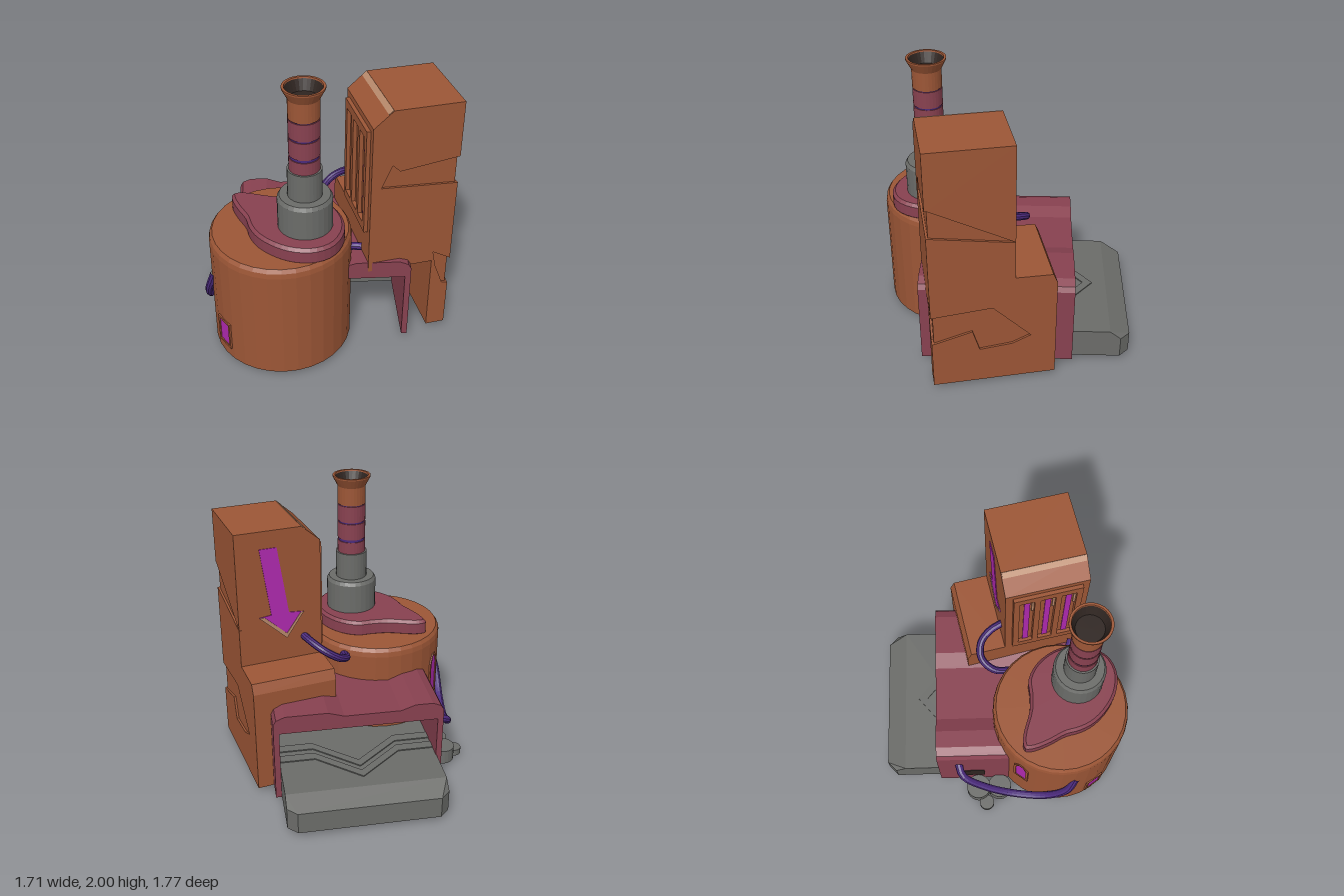
import * as THREE from 'three';
import { ConvexGeometry } from 'three/addons/geometries/ConvexGeometry.js';

const mat = (name, hex) => {
  const m = new THREE.MeshStandardMaterial({ color: hex });
  m.name = name;
  m.flatShading = true;
  return m;
};
const V2 = (p) => new THREE.Vector2(p[0], p[1]);
const V3 = (p) => new THREE.Vector3(p[0], p[1], p[2]);

export function createModel() {
  const copper = mat('copper', 0x9c5636);
  const maroon = mat('maroon', 0x884150);
  const grey = mat('grey', 0x6b6c69);
  const purple = mat('purple', 0x4b2a7c);
  const magenta = mat('magenta', 0xb02ab0);
  const tan = mat('tan', 0xb98a6c);
  const dark = mat('dark', 0x2e2420);

  const root = new THREE.Group();
  root.name = 'machine';

  const add = (parent, name, geo, material) => {
    const m = new THREE.Mesh(geo, material);
    m.name = name;
    parent.add(m);
    return m;
  };
  const group = (parent, name) => {
    const g = new THREE.Group();
    g.name = name;
    parent.add(g);
    return g;
  };
  const lathe = (pts, segs = 28) => new THREE.LatheGeometry(pts.map(V2), segs);
  const box = (x0, x1, y0, y1, z0, z1) =>
    new THREE.BoxGeometry(x1 - x0, y1 - y0, z1 - z0)
      .translate((x0 + x1) / 2, (y0 + y1) / 2, (z0 + z1) / 2);
  const slab = (pts, depth, holes = []) => {
    const s = new THREE.Shape(pts.map(V2));
    holes.forEach((h) => s.holes.push(new THREE.Path(h.map(V2))));
    return new THREE.ExtrudeGeometry(s, { depth, bevelEnabled: false });
  };
  const rect = (x0, x1, y0, y1) => [[x0, y0], [x1, y0], [x1, y1], [x0, y1]];
  const tube = (pts, r) =>
    new THREE.TubeGeometry(new THREE.CatmullRomCurve3(pts.map(V3)), 32, r, 10);

  // Barrel with chamfered rim
  const barrel = group(root, 'barrel');
  barrel.position.set(-0.3, 0, 0.402);
  add(barrel, 'barrelBody', lathe([[0, 0.03], [0.478, 0.03], [0.478, 0.84], [0.472, 0.875],
    [0.455, 0.9], [0, 0.9]], 32), copper);

  // Lit windows on the barrel
  const barrelWindow = (name, dx, dz, w, y0, y1, peak) => {
    const g = group(barrel, name);
    g.rotation.y = Math.atan2(dx, dz);
    const outline = (e) => [[-w - e, y0 - e], [w + e, y0 - e], [w + e, y1 - peak + e],
      [w * 0.4, y1 + e], [-w * 0.4, y1 + e], [-w - e, y1 - peak + e]];
    add(g, 'windowFrame', slab(outline(0.018), 0.022, [outline(0)]).translate(0, 0, 0.462), copper);
    add(g, 'windowGlow', slab(outline(0), 0.009).translate(0, 0, 0.469), magenta);
  };
  barrelWindow('rearWindow', -0.8, -0.6, 0.042, 0.42, 0.72, 0.07);
  barrelWindow('sideWindow', -0.83, 0.56, 0.052, 0.13, 0.31, 0);

  // Teardrop cover plate
  const coverCurve = new THREE.CatmullRomCurve3([[-0.62, 0.14], [-0.57, 0.125], [-0.5, 0.135],
    [-0.35, 0.18], [-0.23, 0.185], [-0.13, 0.18], [-0.02, 0.235], [0.075, 0.35], [0.118, 0.49],
    [0.105, 0.62], [0.03, 0.745], [-0.09, 0.8], [-0.23, 0.785], [-0.35, 0.72], [-0.45, 0.62],
    [-0.5, 0.52], [-0.525, 0.42], [-0.58, 0.31], [-0.62, 0.2]]
    .map(([x, z]) => new THREE.Vector3(x, -z, 0)), true);
  const cover = new THREE.Shape(coverCurve.getPoints(56).slice(0, -1).map((p) => new THREE.Vector2(p.x, p.y)));
  add(root, 'coverPlate', new THREE.ExtrudeGeometry(cover, { depth: 0.08, bevelThickness: 0.02,
    bevelSize: 0.02, bevelOffset: -0.02, bevelSegments: 1 })
    .rotateX(-Math.PI / 2).translate(0, 0.902, 0), maroon);

  // Chimney stack
  const chimney = group(root, 'chimney');
  chimney.position.set(-0.137, 0, 0.518);
  add(chimney, 'chimneyBase', lathe([[0.18, 0.99], [0.18, 1.215], [0.165, 1.24], [0.112, 1.24],
    [0.112, 1.435], [0, 1.435]]), grey);
  [[1.435, 1.522], [1.542, 1.66], [1.672, 1.79]].forEach(([a, b]) =>
    add(chimney, 'chimneySection', lathe([[0, a], [0.1, a], [0.1, b], [0, b]]), maroon));
  add(chimney, 'chimneyRings', lathe([[0.094, 1.5], [0.094, 1.8]]), purple);
  add(chimney, 'chimneyHorn', lathe([[0, 1.797], [0.1, 1.797], [0.1, 1.925], [0.134, 1.99],
    [0.134, 2], [0.118, 2], [0.115, 1.985]]), copper);
  add(chimney, 'chimneyBore', lathe([[0.116, 1.99], [0.09, 1.92], [0, 1.92]].reverse()), dark)
    .material.side = THREE.DoubleSide;

  // Arched bridge with a shallow dip in its top
  add(root, 'bridge', slab([[-0.6, 0.04], [-0.56, 0.04], [-0.56, 0.56], [0.53, 0.56], [0.53, 0.04],
    [0.57, 0.04], [0.57, 0.63], [0.55, 0.665], [0.49, 0.69], [0.2, 0.69], [0.09, 0.655],
    [-0.3, 0.655], [-0.4, 0.69], [-0.52, 0.69], [-0.58, 0.665], [-0.6, 0.63]], 1.055)
    .translate(0, 0, -0.49), maroon);
  add(root, 'bridgePort', box(-0.604, -0.598, 0.15, 0.29, -0.34, -0.15), dark);

  // Sloped tray
  const tray = group(root, 'tray');
  const trayPts = [];
  [[0.53, 0.465], [-0.565, -0.5]].forEach(([x, xi]) => {
    [0.045, 0.2].forEach((y) => trayPts.push([x, y, -0.825], [xi, y, -0.89]));
    trayPts.push([x, 0.26, -0.75], [x, 0.26, -0.03], [x, 0.2, 0], [x, 0.045, 0]);
  });
  add(tray, 'trayBody', new ConvexGeometry(trayPts.map(V3)), grey);
  // Zigzag ribs above and below the tray
  const zig = [[-0.565, -0.4], [-0.31, -0.4], [-0.015, -0.65], [0.28, -0.4], [0.53, -0.4]];
  const ribbon = (dz, w) => [...zig.map(([x, z]) => [x, -(z + dz)]),
    ...zig.map(([x, z]) => [x, -(z + dz + w)]).reverse()];
  [[0.258, 0], [0.258, 0.12], [0.036, 0], [0.036, 0.2]].forEach(([y, dz]) =>
    add(tray, 'trayRib', slab(ribbon(dz, 0.07), 0.01).rotateX(-Math.PI / 2).translate(0, y, 0), grey));

  // Small cups, hollow underneath
  [[-0.69, -0.2, 0.09, 0.025, 0.13], [-0.682, -0.04, 0.088, 0, 0.1], [-0.8, -0.14, 0.055, 0.015, 0.062]]
    .forEach(([x, z, r, a, b]) => add(root, 'cup', lathe([[0, b - 0.02], [r * 0.8, b - 0.02],
      [r * 0.8, a], [r, a], [r, b], [0, b]], 20), grey).position.set(x, 0, z));

  // Tower, turned on its base
  const tower = group(root, 'tower');
  tower.position.set(0.479, 0, 0.102);
  tower.rotation.y = 0.207;
  const X = 0.293, Z = 0.417, T = 0.015, B = -0.14;
  add(tower, 'towerCore', slab([[-X, 0.62], [X - T, 0.62], [X - T, 1.83], [-0.165, 1.83], [-X, 1.72]],
    Z - T - B).translate(0, 0, B), copper);
  add(tower, 'towerLeg', box(0.159, X - T, 0.04, 0.63, -Z, Z - T), copper);
  add(tower, 'towerRear', slab([[-B, 0.62], [Z, 0.62], [Z, 0.8], [Z - 0.03, 0.87], [-B, 0.875]], 2 * X - T)
    .rotateY(Math.PI / 2).translate(-X, 0, 0), copper);
  // Front and side armour plates with angular cut-outs that meet at the corner
  add(tower, 'frontPlate', slab([[-X, 0.62], [0.159, 0.62], [0.159, 0.04], [X, 0.04], [X, 0.4],
    [0.25, 0.41], [0.19, 0.57], [0.165, 0.695], [X, 0.62], [X, 1.24], [-0.225, 1.28],
    [-0.157, 1.44], [-0.105, 1.39], [X, 1.44], [X, 1.83], [-0.165, 1.83], [-X, 1.72]], T)
    .translate(0, 0, Z - T), copper);
  const F = -(Z - T);
  add(tower, 'sidePlate', slab([[F, 0.04], [Z, 0.04], [Z, 0.8], [Z - 0.03, 0.87], [-B, 0.875],
    [-B, 1.149], [F, 1.24], [F, 0.62], [-0.01, 0.65], [0.245, 0.385], [0.12, 0.33], [-0.1, 0.31],
    [-0.146, 0.47], [F, 0.4]], T).rotateY(Math.PI / 2).translate(X - T, 0, 0), copper);
  add(tower, 'upperSidePlate', slab([[F, 1.44], [-B, 1.152], [-B, 1.83], [F, 1.83]], T)
    .rotateY(Math.PI / 2).translate(X - T, 0, 0), copper);
  // Worn strip along the top chamfer
  const strip = add(tower, 'edgeStrip', new THREE.BoxGeometry(0.04, 0.006, Z - B - 0.01), tan);
  strip.position.set(-0.181, 1.817, (Z + B) / 2);
  strip.rotation.z = Math.atan2(0.11, 0.128);

  // Vent panel facing the barrel
  const vent = group(tower, 'vent');
  const slots = [-0.05, 0.09, 0.23];
  add(vent, 'ventFrame', slab([[-0.09, 0.92], [0.37, 0.92], [0.37, 1.68], [-0.09, 1.68]], 0.026,
    slots.map((z) => rect(z, z + 0.1, 0.98, 1.62))).rotateY(-Math.PI / 2).translate(-X, 0, 0), copper);
  slots.forEach((z) => {
    add(vent, 'ventGlow', box(-X - 0.005, -X, 0.98, 1.62, z + 0.035, z + 0.075), magenta);
    add(vent, 'ventEdge', box(-X - 0.008, -X, 1.45, 1.62, z + 0.085, z + 0.1), tan);
  });

  // Slanted arrow on the back of the tower
  const arrow = group(tower, 'arrow');
  const back = (geo) => geo.rotateY(Math.PI).translate(0, 0, B);
  add(arrow, 'arrowGlow', back(slab([[-0.13, 1.71], [-0.01, 1.71], [0.06, 1.23], [0.165, 1.22],
    [0.04, 1.04], [-0.15, 1.22], [-0.065, 1.23]], 0.005)), magenta);
  add(arrow, 'arrowEdge', back(slab([[-0.15, 1.22], [0.04, 1.04], [0.165, 1.22], [0.145, 1.22],
    [0.04, 1.075], [-0.115, 1.22]], 0.009)), tan);

  // Hoses
  add(root, 'sideHose', tube([[-0.58, 0.47, -0.34], [-0.67, 0.43, -0.31], [-0.73, 0.32, -0.16],
    [-0.77, 0.22, 0.07], [-0.8, 0.26, 0.3], [-0.8, 0.43, 0.45], [-0.75, 0.61, 0.51]], 0.028), purple);
  add(root, 'rearHose', tube([[0, 0.83, 0.06], [0, 0.86, -0.06], [0.07, 0.91, -0.145],
    [0.165, 0.97, -0.145], [0.24, 1.01, -0.08], [0.3, 1.03, 0.03]], 0.027), purple);
  add(root, 'frontHose', tube([[0.13, 0.76, 0.47], [0.18, 0.78, 0.49], [0.24, 0.79, 0.51]], 0.026), purple);

  return root;
}
